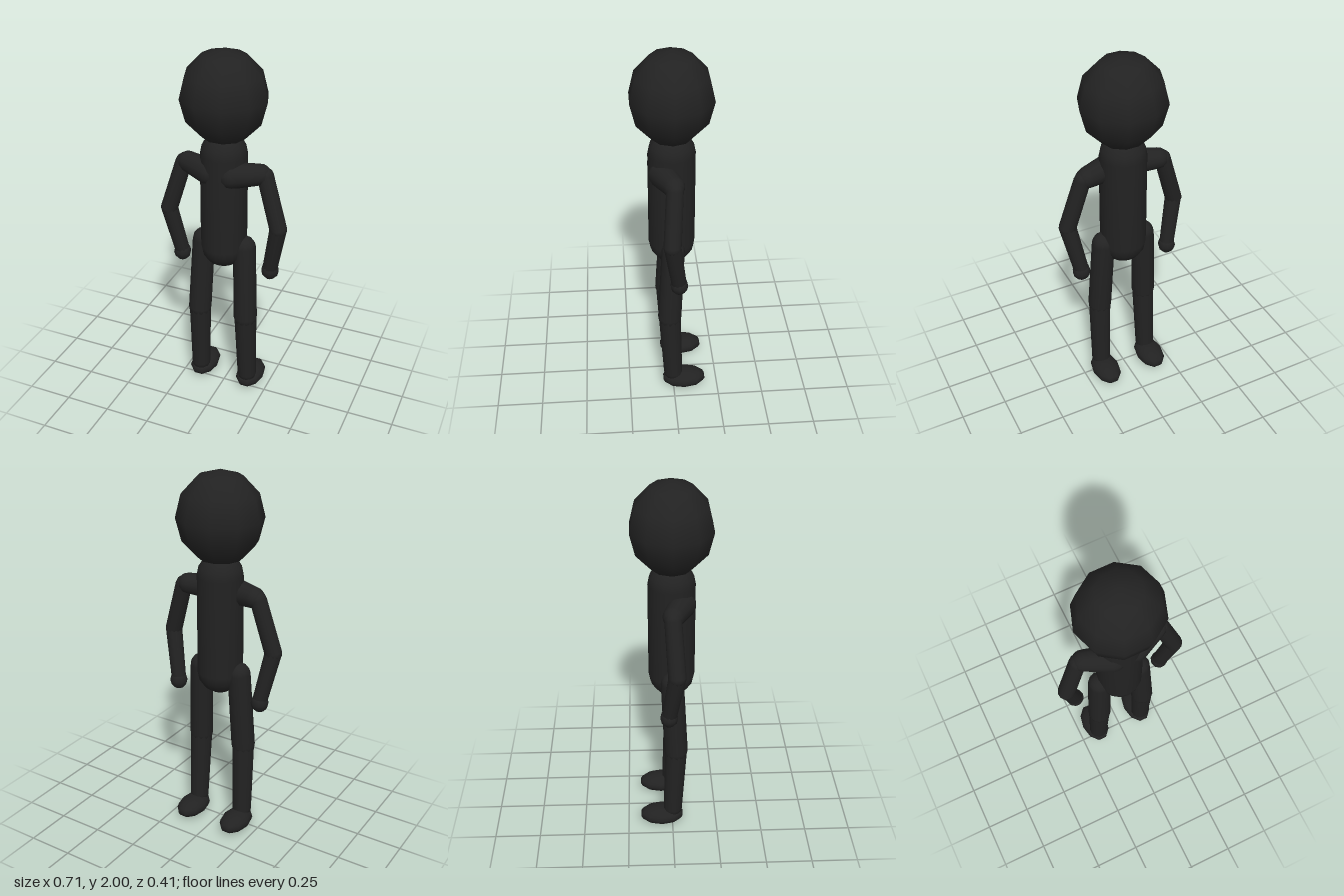
import * as THREE from 'three';

const charcoal = new THREE.MeshStandardMaterial({ color: 0x222222 });
charcoal.name = 'charcoal';

const UP = new THREE.Vector3(0, 1, 0);

function ellipsoid(name, center, radii, sides = 10, rings = 6) {
  const mesh = new THREE.Mesh(new THREE.SphereGeometry(1, sides, rings), charcoal);
  mesh.name = name;
  mesh.position.set(...center);
  mesh.scale.set(...radii);
  return mesh;
}

// Round-ended limb between two joints, with its own radius at each end
function limb(name, from, to, r0, r1, sides = 12) {
  const a = new THREE.Vector3(...from);
  const dir = new THREE.Vector3(...to).sub(a);
  const length = dir.length();
  const steps = 4;
  const profile = [];
  for (let i = 0; i <= steps; i++) {
    const t = (i / steps) * Math.PI / 2;
    profile.push(new THREE.Vector2(r0 * Math.sin(t), -r0 * Math.cos(t)));
  }
  for (let i = 0; i <= steps; i++) {
    const t = (i / steps) * Math.PI / 2;
    profile.push(new THREE.Vector2(Math.max(0, r1 * Math.cos(t)), length + r1 * Math.sin(t)));
  }
  const mesh = new THREE.Mesh(new THREE.LatheGeometry(profile, sides), charcoal);
  mesh.name = name;
  mesh.position.copy(a);
  mesh.quaternion.setFromUnitVectors(UP, dir.normalize());
  return mesh;
}

export function createModel() {
  const model = new THREE.Group();
  model.name = 'mannequin';

  // Head and body
  model.add(ellipsoid('head', [0, 1.76, 0], [0.228, 0.24, 0.217]));
  model.add(limb('torso', [0, 0.925, 0], [0, 1.455, 0], 0.123, 0.122, 16));

  for (const s of [1, -1]) {
    const side = new THREE.Group();
    side.name = s > 0 ? 'leftLimbs' : 'rightLimbs';
    const at = (x, y, z) => [s * x, y, z];

    // Shoulder and arm
    const shoulder = at(0.225, 1.37, 0);
    const elbow = at(0.309, 1.09, 0.018);
    const wrist = at(0.257, 0.82, -0.02);
    side.add(limb('collar', at(0.06, 1.365, 0.053), at(0.2, 1.375, 0.003), 0.07, 0.055));
    side.add(limb('upperArm', shoulder, elbow, 0.044, 0.046));
    side.add(limb('forearm', elbow, wrist, 0.045, 0.04));
    side.add(ellipsoid('hand', at(0.257, 0.808, -0.021), [0.048, 0.051, 0.047]));

    // Leg and foot; the toes point to -z
    const hip = at(0.117, 0.932, 0);
    const knee = at(0.136, 0.5, 0.02);
    const ankle = at(0.143, 0.1, 0.002);
    side.add(limb('thigh', hip, knee, 0.061, 0.064));
    side.add(limb('shin', knee, ankle, 0.061, 0.053));
    side.add(ellipsoid('foot', at(0.143, 0.052, -0.06), [0.078, 0.052, 0.124], 10, 8));

    model.add(side);
  }
  return model;
}
